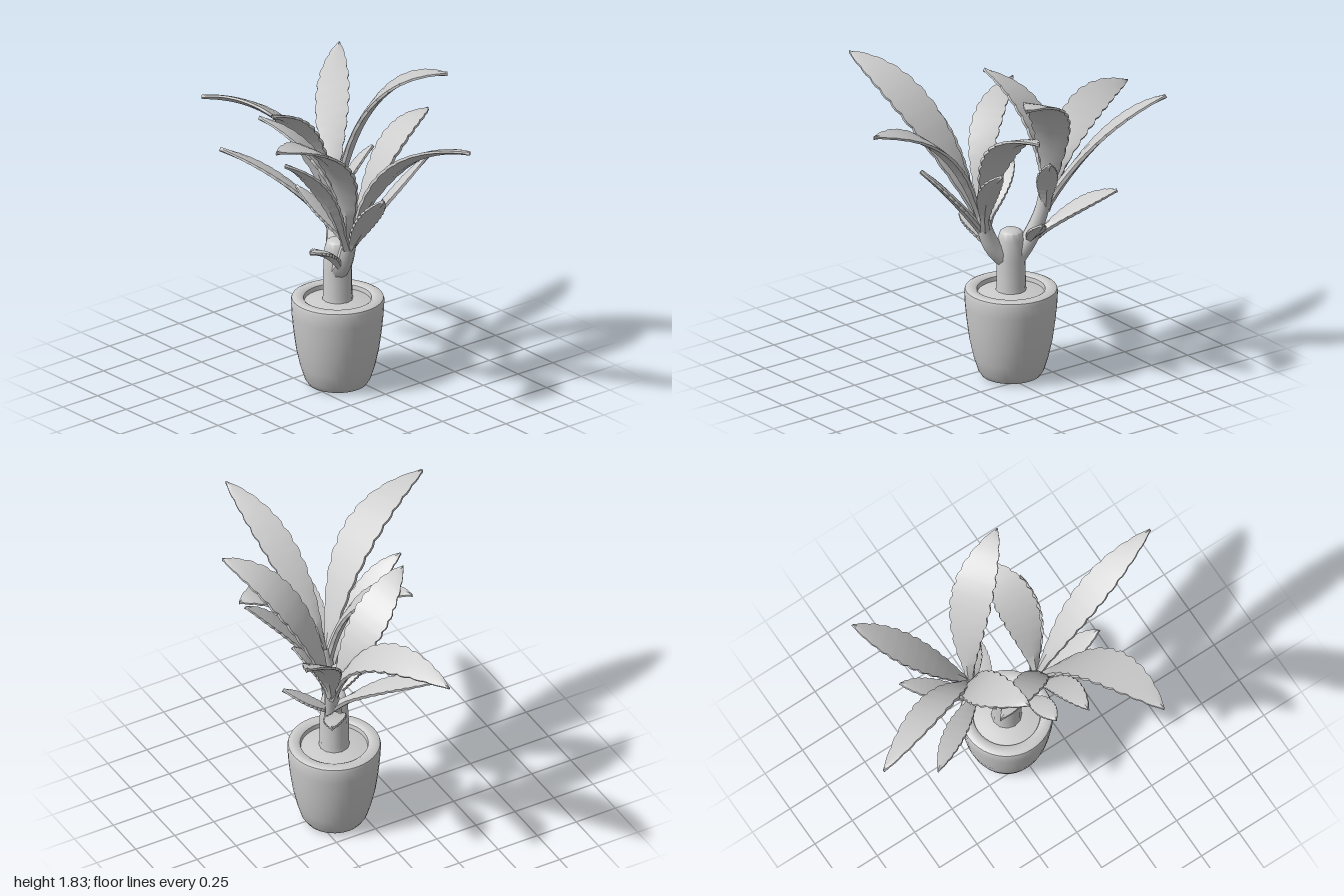
import * as THREE from 'three';
import { toCreasedNormals } from 'three/addons/utils/BufferGeometryUtils.js';

const material = new THREE.MeshStandardMaterial({ color: 0xcccccc });
const CX = -0.04, CZ = -0.145; // axis of pot and trunk
const V = (p) => new THREE.Vector3(...p);

function add(group, name, geometry) {
  const mesh = new THREE.Mesh(geometry, material);
  mesh.name = name;
  group.add(mesh);
}

function lathe(points, sides, crease) {
  const g = new THREE.LatheGeometry(points.map(([r, y]) => new THREE.Vector2(r, y)), sides);
  return toCreasedNormals(g, crease).translate(CX, 0, CZ);
}

// Thin serrated blade swept along an arch from base through mid to tip, rolled about its midrib
function leafGeometry(base, mid, tip, width, roll) {
  const b = V(base), t = V(tip);
  const control = V(mid).multiplyScalar(2).addScaledVector(b, -0.5).addScaledVector(t, -0.5);
  const curve = new THREE.QuadraticBezierCurve3(b, control, t);
  const steps = 36, positions = [], index = [];
  const level = new THREE.Vector3(t.z - b.z, 0, b.x - t.x).normalize();
  for (let i = 0; i <= steps; i++) {
    const u = i / steps, c = curve.getPoint(u), tangent = curve.getTangent(u);
    const side = level.clone().applyAxisAngle(tangent, -roll);
    const up = new THREE.Vector3().crossVectors(tangent, side).normalize();
    if (i === 0) side.normalize();
    const blade = Math.pow(Math.sin(Math.PI * Math.pow(u, 1.25)), 0.75) || 0;
    const tooth = i % 3 === 2 ? 0.9 : 1;
    const half = Math.max(0.5 * width * blade * tooth, 0.022 * (1 - u) + 0.004);
    const thick = 0.013 + 0.014 * (1 - u);
    const fold = 0.08 * half * Math.min(1, u * 3);
    // ring: edge, midrib top, other edge, then the underside
    const ring = [[-half, fold + thick * 0.4], [0, thick], [half, fold + thick * 0.4],
      [half, fold - thick * 0.4], [0, -thick], [-half, fold - thick * 0.4]];
    for (const [s, h] of ring) {
      const p = c.clone().addScaledVector(side, s).addScaledVector(up, h);
      positions.push(p.x, p.y, p.z);
    }
  }
  for (let i = 0; i < steps; i++) {
    for (let k = 0; k < 6; k++) {
      const a = i * 6 + k, d = i * 6 + (k + 1) % 6;
      index.push(a, a + 6, d, d, a + 6, d + 6);
    }
  }
  const e = steps * 6;
  for (let k = 1; k < 5; k++) index.push(0, k, k + 1, e, e + k + 1, e + k);
  const g = new THREE.BufferGeometry();
  g.setAttribute('position', new THREE.Float32BufferAttribute(positions, 3));
  g.setIndex(index);
  return toCreasedNormals(g, 0.6);
}

// Tapered branch along a smooth path
function branchGeometry(points, r0, r1) {
  const curve = new THREE.CatmullRomCurve3(points.map(V));
  const rows = 10, sides = 10;
  const g = new THREE.TubeGeometry(curve, rows, 1, sides);
  const p = g.attributes.position, v = new THREE.Vector3();
  for (let i = 0; i < p.count; i++) {
    const u = Math.floor(i / (sides + 1)) / rows, c = curve.getPointAt(u);
    v.fromBufferAttribute(p, i).sub(c).multiplyScalar(r0 + (r1 - r0) * u).add(c);
    p.setXYZ(i, v.x, v.y, v.z);
  }
  g.computeVertexNormals();
  return g;
}

export function createModel() {
  const plant = new THREE.Group();
  plant.name = 'pottedPlant';

  // Pot with a rounded foot, thick rim and hollow top
  add(plant, 'pot', lathe([[0, 0], [0.14, 0], [0.165, 0.01], [0.185, 0.04], [0.21, 0.12], [0.232, 0.22],
    [0.247, 0.33], [0.257, 0.43], [0.261, 0.505], [0.256, 0.522], [0.24, 0.53], [0.205, 0.53],
    [0.19, 0.52], [0.185, 0.49]], 40, 0.7));
  add(plant, 'soil', lathe([[0.19, 0.495], [0.14, 0.505], [0.08, 0.515], [0, 0.515]], 24, 0.7));

  // Trunk
  add(plant, 'trunk', lathe([[0.088, 0.5], [0.083, 0.54], [0.081, 0.7], [0.075, 0.82], [0.064, 0.86],
    [0.045, 0.872], [0, 0.872]], 12, 0.8));

  // Two branches forking from the trunk
  add(plant, 'rightBranch', branchGeometry([[-0.06, 0.7, -0.16], [-0.13, 0.82, -0.2],
    [-0.18, 0.98, -0.24], [-0.2, 1.14, -0.26]], 0.055, 0.035));
  add(plant, 'leftBranch', branchGeometry([[-0.01, 0.7, -0.13], [0.06, 0.78, -0.11],
    [0.11, 0.9, -0.1], [0.14, 1.06, -0.11]], 0.055, 0.035));

  // Leaves: base, mid, tip, width, roll
  const crowns = {
    rightLeaf: [
      [[-0.2, 0.98, -0.25], [-0.5, 1.42, -0.14], [-0.99, 1.47, 0.05], 0.2, -0.45],
      [[-0.2, 1.0, -0.25], [-0.45, 1.42, -0.44], [-0.7, 1.69, -0.7], 0.19, 0],
      [[-0.2, 1.0, -0.26], [-0.08, 1.6, -0.45], [0.26, 1.82, -0.69], 0.24, 0.1],
      [[-0.2, 1.0, -0.24], [-0.26, 1.44, -0.07], [-0.14, 1.68, 0.24], 0.23, -0.25],
      [[-0.18, 0.9, -0.22], [-0.43, 1.14, -0.04], [-0.7, 1.28, 0.16], 0.13, -0.2],
      [[-0.14, 0.8, -0.2], [-0.36, 0.98, -0.32], [-0.55, 1.08, -0.45], 0.13, -0.2],
      [[-0.2, 0.98, -0.25], [-0.15, 1.18, -0.33], [-0.09, 1.34, -0.44], 0.12, 0],
      [[-0.12, 0.8, -0.18], [-0.08, 0.9, -0.32], [-0.02, 1.0, -0.46], 0.1, 0],
    ],
    leftLeaf: [
      [[0.13, 0.95, -0.1], [0.48, 1.47, -0.16], [0.99, 1.7, -0.25], 0.19, 0.2],
      [[0.13, 0.92, -0.09], [0.33, 1.53, 0.2], [0.45, 1.78, 0.7], 0.26, 0.18],
      [[0.12, 0.88, -0.08], [0.16, 1.28, 0.13], [0.15, 1.52, 0.39], 0.14, -0.2],
      [[0.13, 0.95, -0.11], [0.17, 1.43, -0.34], [0.14, 1.58, -0.65], 0.23, 0.15],
      [[0.12, 0.9, -0.12], [0.24, 1.18, -0.3], [0.3, 1.39, -0.52], 0.12, 0.15],
      [[0.1, 0.85, -0.1], [0.3, 1.1, -0.07], [0.5, 1.31, -0.03], 0.14, 0.15],
      [[0.12, 0.95, -0.1], [0.01, 1.4, 0.04], [-0.31, 1.61, 0.2], 0.17, -0.15],
      [[0.1, 0.9, -0.1], [-0.04, 1.06, -0.03], [-0.19, 1.19, 0.03], 0.11, 0],
      [[0.05, 0.74, -0.1], [0.08, 0.86, 0.03], [0.09, 0.91, 0.16], 0.12, 0],
    ],
  };
  for (const [name, leaves] of Object.entries(crowns)) {
    const crown = new THREE.Group();
    crown.name = name + 'Crown';
    leaves.forEach((leaf, i) => add(crown, name + (i + 1), leafGeometry(...leaf)));
    plant.add(crown);
  }
  return plant;
}
